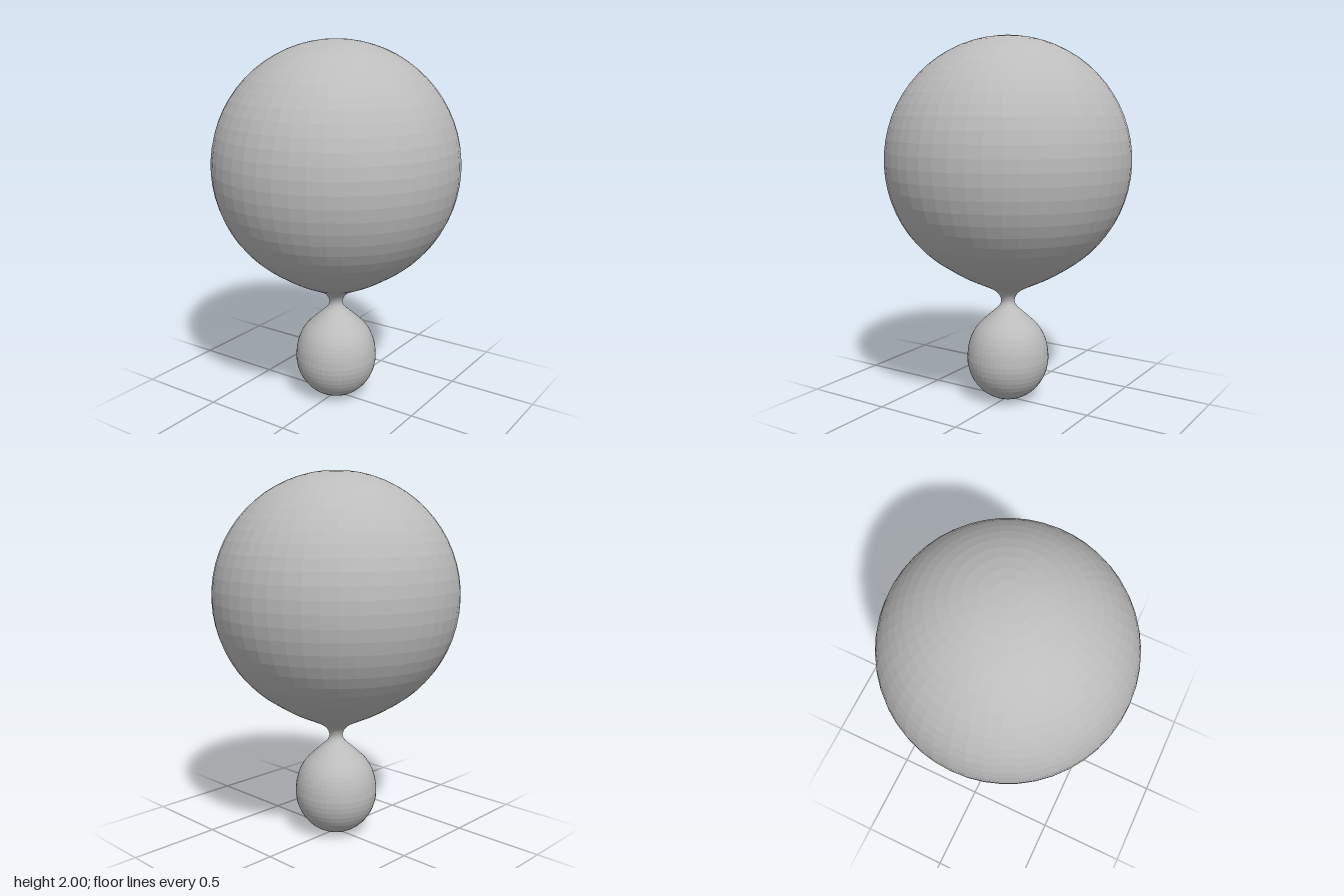
import * as THREE from 'three';

const SIDES = 48;

// Points on an arc about the y axis, from angle a to angle b (radians, -PI/2 is the bottom)
function arc(cy, rx, ry, a, b, steps) {
  return Array.from({ length: steps + 1 }, (_, i) => {
    const t = a + ((b - a) * i) / steps;
    return new THREE.Vector2(Math.max(0, rx * Math.cos(t)), cy + ry * Math.sin(t));
  });
}

export function createModel() {
  const model = new THREE.Group();
  model.name = 'doubleBulb';

  const grey = new THREE.MeshStandardMaterial({ color: 0xbcbcbc, flatShading: true });
  grey.name = 'plain grey';

  const addLathe = (name, profile) => {
    const mesh = new THREE.Mesh(new THREE.LatheGeometry(profile, SIDES), grey);
    mesh.name = name;
    model.add(mesh);
  };

  // Small lower bulb: the rounded underside up to its widest ring
  addLathe('smallBulb', arc(0.24, 0.228, 0.24, -Math.PI / 2, 0, 12));

  // Pinched neck flowing from the small bulb into the large one
  const joinAngle = -Math.asin(0.485 / 0.665);
  const neck = new THREE.SplineCurve([
    [0.228, 0.24], [0.222, 0.3], [0.204, 0.36], [0.175, 0.41], [0.132, 0.455],
    [0.082, 0.5], [0.05, 0.53], [0.037, 0.56], [0.048, 0.595], [0.08, 0.625],
    [0.135, 0.653], [0.235, 0.7], [0.32, 0.75], [0.395, 0.8],
    [0.665 * Math.cos(joinAngle), 0.85],
  ].map(([x, y]) => new THREE.Vector2(x, y)));
  addLathe('neck', neck.getPoints(36));

  // Large upper bulb
  addLathe('largeBulb', arc(1.335, 0.665, 0.665, joinAngle, Math.PI / 2, 24));

  return model;
}
